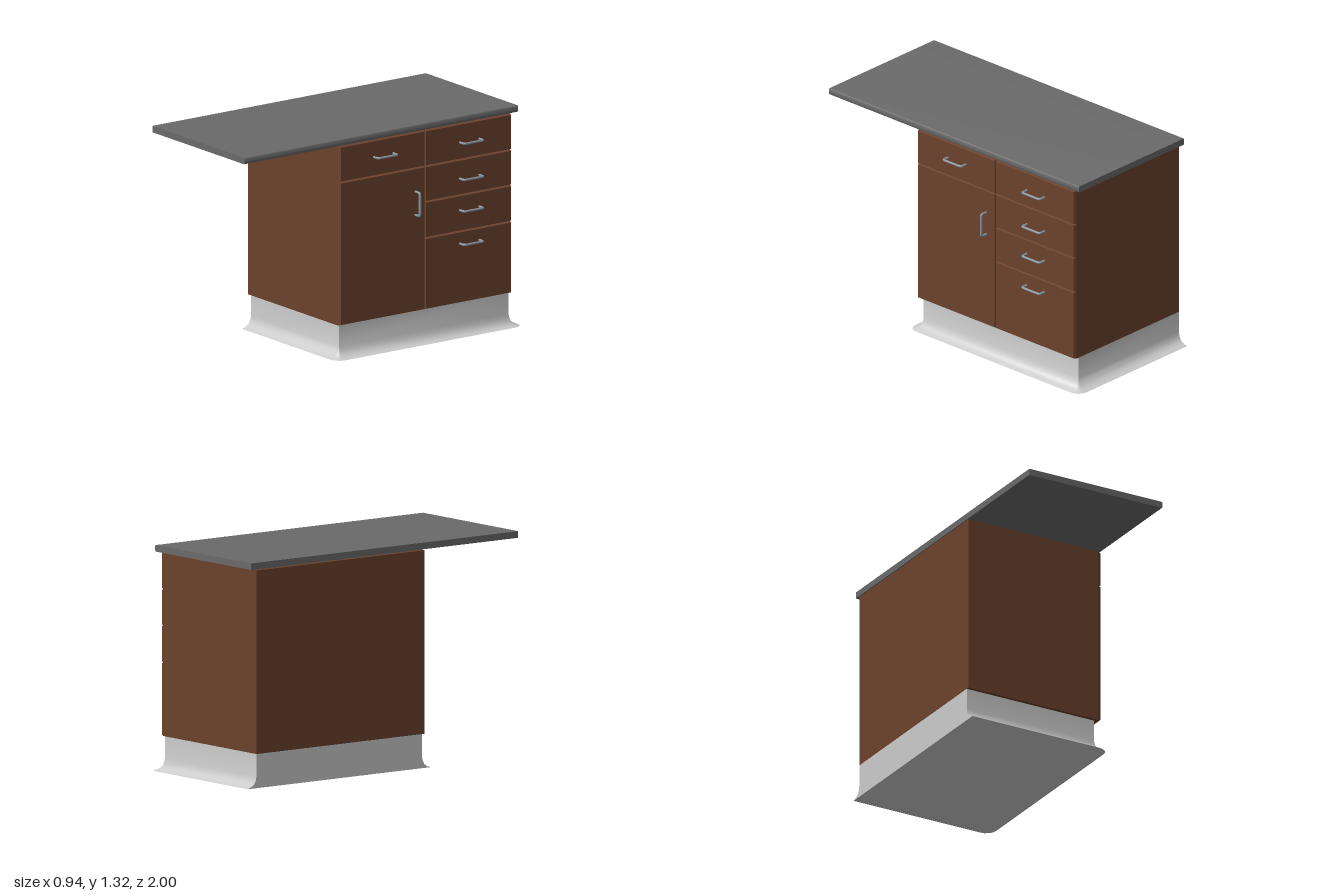
import * as THREE from 'three';
import { toCreasedNormals } from 'three/addons/utils/BufferGeometryUtils.js';

const wood = new THREE.MeshStandardMaterial({ color: 0x6c422d });
const stone = new THREE.MeshStandardMaterial({ color: 0x6a6a6a });
const steel = new THREE.MeshStandardMaterial({ color: 0x8a959b });
const grey = new THREE.MeshStandardMaterial({ color: 0xcccccc, side: THREE.DoubleSide });

const BACK = -0.47, BODY = 0.395, FACE = 0.42;
const Z0 = -0.93, Z1 = 0.31;

function add(group, name, geometry, material) {
  const mesh = new THREE.Mesh(geometry, material);
  mesh.name = name;
  group.add(mesh);
  return mesh;
}

// Door or drawer front: a box whose outer face is drawn in to form a bevel
function panelGeometry(z0, z1, y0, y1) {
  const w = z1 - z0, h = y1 - y0, d = FACE - BODY, inset = 0.006;
  const g = new THREE.BoxGeometry(d, h, w, 2, 1, 1);
  const p = g.attributes.position;
  for (let i = 0; i < p.count; i++) {
    const x = p.getX(i);
    if (x > d / 4) {
      p.setY(i, Math.sign(p.getY(i)) * (h / 2 - inset));
      p.setZ(i, Math.sign(p.getZ(i)) * (w / 2 - inset));
    } else if (x > -d / 4) p.setX(i, -d / 2 + 0.006);
  }
  g.translate((BODY + FACE) / 2, (y0 + y1) / 2, (z0 + z1) / 2);
  return toCreasedNormals(g, 0.3);
}

// Vertical bow handle with rounded bends, standing out along +x
function handleGeometry() {
  const v = (x, y) => new THREE.Vector3(x, y, 0);
  const out = 0.043, half = 0.07, r = 0.015;
  const path = new THREE.CurvePath();
  path.add(new THREE.LineCurve3(v(-0.005, -half), v(out - r, -half)));
  path.add(new THREE.QuadraticBezierCurve3(v(out - r, -half), v(out, -half), v(out, -half + r)));
  path.add(new THREE.LineCurve3(v(out, -half + r), v(out, half - r)));
  path.add(new THREE.QuadraticBezierCurve3(v(out, half - r), v(out, half), v(out - r, half)));
  path.add(new THREE.LineCurve3(v(out - r, half), v(-0.005, half)));
  return new THREE.TubeGeometry(path, 40, 0.0075, 8, false);
}

// Plinth with coved foot on three sides and a flat back
function plinthGeometry() {
  const profile = [[0, 0.2], [0, 0.07], [0.006, 0.045], [0.018, 0.022], [0.04, 0.008], [0.065, 0]];
  const x = 0.385, za = 0.29, zb = -0.93, steps = 4;
  const ring = (o, y) => {
    const pts = [[BACK, y, za + o]];
    for (let i = 0; i <= steps; i++) {
      const a = (i / steps) * Math.PI / 2;
      pts.push([x + o * Math.sin(a), y, za + o * Math.cos(a)]);
    }
    for (let i = 0; i <= steps; i++) {
      const a = (i / steps) * Math.PI / 2;
      pts.push([x + o * Math.cos(a), y, zb - o * Math.sin(a)]);
    }
    pts.push([BACK, y, zb - o]);
    return pts;
  };
  const positions = [], index = [];
  profile.forEach(([o, y]) => ring(o, y).forEach((p) => positions.push(...p)));
  const n = 2 * steps + 4;
  for (let r = 0; r < profile.length - 1; r++) {
    for (let i = 0; i < n; i++) {
      const j = (i + 1) % n;
      const a = r * n + i, b = r * n + j, c = a + n, d = b + n;
      index.push(a, c, b, b, c, d);
    }
  }
  // Underside and top
  const last = (profile.length - 1) * n;
  for (let i = 1; i < n - 1; i++) {
    index.push(last, last + i + 1, last + i);
    index.push(0, i, i + 1);
  }
  const g = new THREE.BufferGeometry();
  g.setAttribute('position', new THREE.Float32BufferAttribute(positions, 3));
  g.setIndex(index);
  return toCreasedNormals(g, 0.8);
}

// Worktop: section with an eased front edge, run along z
function worktopGeometry() {
  const x0 = BACK, x1 = 0.425, y0 = 1.281, y1 = 1.32, r = 0.008;
  const s = new THREE.Shape();
  s.moveTo(x0, y0);
  s.lineTo(x1 - r, y0);
  s.quadraticCurveTo(x1, y0, x1, y0 + r);
  s.lineTo(x1, y1 - r);
  s.quadraticCurveTo(x1, y1, x1 - r, y1);
  s.lineTo(x0, y1);
  s.closePath();
  const g = new THREE.ExtrudeGeometry(s, { depth: 1.97, bevelEnabled: false, curveSegments: 4 });
  g.translate(0, 0, -0.97);
  return toCreasedNormals(g, 0.6);
}

export function createModel() {
  const model = new THREE.Group();
  model.name = 'kitchenCabinet';

  add(model, 'plinth', plinthGeometry(), grey);
  add(model, 'worktop', worktopGeometry(), stone);

  // Carcass
  const body = add(model, 'carcass', new THREE.BoxGeometry(BODY - BACK, 1.075, Z1 - Z0), wood);
  body.position.set((BODY + BACK) / 2, 0.2 + 1.075 / 2, (Z0 + Z1) / 2);

  // Fronts: z range, y range, handle z, handle y, upright handle
  const mid = -0.305;
  const fronts = [
    ['wideDrawer', mid, Z1, 1.06, 1.275, -0.005, 1.175, false],
    ['door', mid, Z1, 0.2, 1.06, -0.235, 0.85, true],
    ['topDrawer', Z0, mid, 1.06, 1.275, -0.625, 1.163, false],
    ['upperDrawer', Z0, mid, 0.847, 1.06, -0.625, 0.946, false],
    ['lowerDrawer', Z0, mid, 0.63, 0.847, -0.625, 0.757, false],
    ['bottomDrawer', Z0, mid, 0.2, 0.63, -0.625, 0.557, false],
  ];
  const bow = handleGeometry();
  for (const [name, z0, z1, y0, y1, hz, hy, upright] of fronts) {
    add(model, name, panelGeometry(z0, z1, y0, y1), wood);
    const handle = add(model, name + 'Handle', bow, steel);
    handle.position.set(FACE, hy, hz);
    if (!upright) handle.rotation.x = Math.PI / 2;
  }
  return model;
}
